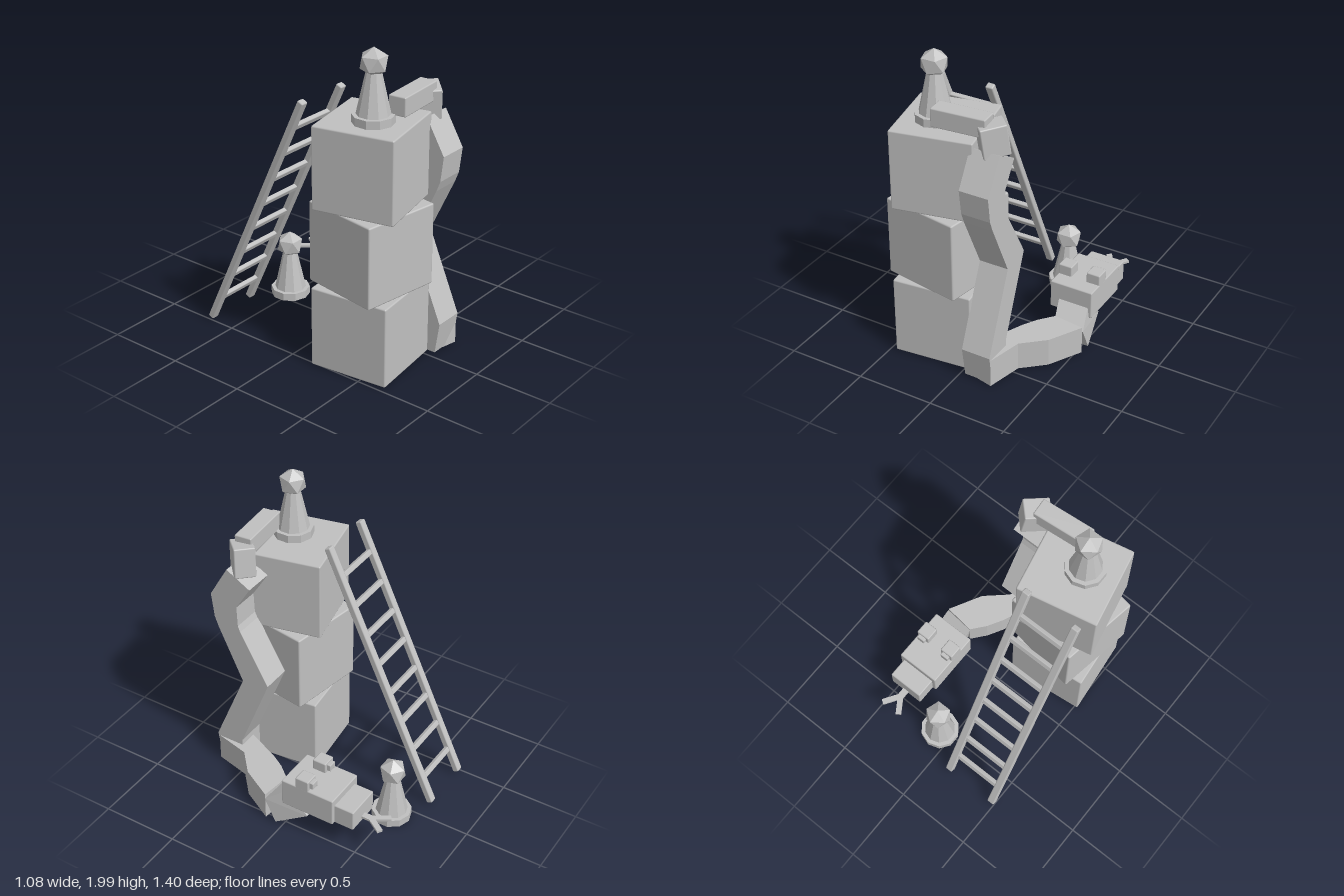
import * as THREE from 'three';
import { RoundedBoxGeometry } from 'three/addons/geometries/RoundedBoxGeometry.js';

export function createModel() {
  const model = new THREE.Group();
  model.name = 'toySnakeAndBlocks';
  const grey = new THREE.MeshStandardMaterial({ color: 0xc0c0c0 });
  grey.name = 'plain grey';

  function add(name, geometry, x = 0, y = 0, z = 0, parent = model) {
    const mesh = new THREE.Mesh(geometry, grey);
    mesh.name = name;
    mesh.position.set(x, y, z);
    parent.add(mesh);
    return mesh;
  }
  const block = (w, h, d, r = 0.008) => new RoundedBoxGeometry(w, h, d, 1, r);

  // Flat-shaded loft through four-cornered sections, capped at both ends
  function loft(sections) {
    const pos = [];
    const quad = (a, b, c, d) => [a, b, c, a, c, d].forEach((p) => pos.push(...p));
    for (let k = 0; k + 1 < sections.length; k++) {
      const a = sections[k], b = sections[k + 1];
      for (let i = 0; i < 4; i++) {
        const j = (i + 1) % 4;
        quad(a[i], a[j], b[j], b[i]);
      }
    }
    const s = sections[0], e = sections[sections.length - 1];
    quad(s[3], s[2], s[1], s[0]);
    quad(e[0], e[1], e[2], e[3]);
    const g = new THREE.BufferGeometry();
    g.setAttribute('position', new THREE.Float32BufferAttribute(pos, 3));
    g.computeVertexNormals();
    return g;
  }

  // Stack of three twisted blocks
  [6.3, -9.4, 11.9].forEach((deg, i) => {
    const b = add('stackedBlock', block(0.51, 0.516, 0.51, 0.01), -0.24, 0.27 + i * 0.516, 0.39);
    b.rotation.y = THREE.MathUtils.degToRad(deg);
  });

  // Two pawns, one on the stack and one on the floor
  function pawn(x, y, z) {
    const g = new THREE.Group();
    g.name = 'pawn';
    g.position.set(x, y, z);
    model.add(g);
    const flat = (geo) => {
      const f = geo.index ? geo.toNonIndexed() : geo;
      f.computeVertexNormals();
      return f;
    };
    add('pawnBase', flat(new THREE.CylinderGeometry(0.125, 0.125, 0.05, 10)), 0, 0.025, 0, g);
    add('pawnBody', flat(new THREE.CylinderGeometry(0.045, 0.1, 0.25, 10)), 0, 0.175, 0, g);
    const ball = new THREE.IcosahedronGeometry(0.088, 0);
    ball.rotateX(-Math.atan((1 + Math.sqrt(5)) / 2)).rotateY(Math.PI);
    add('pawnHead', flat(ball), 0, 0.352, 0, g);
  }
  pawn(-0.28, 1.56, 0.43);
  pawn(0.088, 0.01, -0.517);

  // Leaning ladder, built upright along y and then tilted
  const ladder = new THREE.Group();
  ladder.name = 'ladder';
  ladder.position.set(-0.303, 0.842, -0.298);
  ladder.rotation.x = Math.atan2(0.76, 1.625);
  model.add(ladder);
  for (const side of [-1, 1]) add('ladderRail', block(0.05, 1.8, 0.042), side * 0.173, 0, 0, ladder);
  for (let i = 0; i < 8; i++) {
    add('ladderRung', block(0.31, 0.036, 0.03, 0.006), 0, -0.725 + i * 0.2035, 0, ladder);
  }

  // Snake: upright ribbon, each row is front z, y, back z, y
  const upright = [
    [0.57, 1.525, 0.41, 1.435],
    [0.695, 1.31, 0.51, 1.275],
    [0.675, 1.15, 0.505, 1.14],
    [0.65, 1.085, 0.49, 1.1],
    [0.485, 0.73, 0.3, 0.76],
    [0.7, 0.22, 0.51, 0.24],
    [0.67, 0.02, 0.51, 0.02],
  ];
  const x0 = 0.035, x1 = 0.225;
  add('snakeUpperBody', loft(upright.map(([fz, fy, bz, by]) => [
    [x1, fy, fz], [x0, fy, fz], [x0, by, bz], [x1, by, bz],
  ])));

  // Snake: body on the floor, each row is outer x, z, inner x, z
  const floorBody = [
    [0.225, 0.69, 0.045, 0.65],
    [0.28, 0.46, 0.205, 0.285],
    [0.42, 0.335, 0.26, 0.19],
    [0.535, 0.125, 0.335, 0.1],
  ];
  const lower = floorBody.map(([ox, oz, nx, nz]) => [
    [ox, 0.2, oz], [ox, 0.015, oz], [nx, 0.015, nz], [nx, 0.2, nz],
  ]);
  add('snakeLowerBody', loft(lower));

  // Snake: neck rising into the head
  add('snakeNeck', loft([
    [[0.54, 0.17, 0.125], [0.54, 0.015, 0.05], [0.34, 0.015, 0.05], [0.34, 0.17, 0.125]],
    [[0.5, 0.28, -0.02], [0.5, 0.135, -0.16], [0.3, 0.135, -0.16], [0.3, 0.28, -0.02]],
  ]));

  // Snake: tail link and tail tip
  const link = add('snakeTailLink', block(0.13, 0.19, 0.16), 0.145, 1.585, 0.505);
  link.rotation.set(0.08, -Math.PI / 4, 0.1, 'XZY');
  const tip = add('snakeTailTip', block(0.345, 0.118, 0.113), -0.042, 1.66, 0.527);
  tip.rotation.y = 0.085;

  // Snake: head, snout, eyes and forked tongue
  add('snakeHead', block(0.287, 0.185, 0.365), 0.388, 0.282, -0.178);
  add('snakeSnout', block(0.235, 0.137, 0.14), 0.388, 0.258, -0.42);
  for (const side of [-1, 1]) {
    add('snakeEye', block(0.092, 0.085, 0.092), 0.388 + side * 0.097, 0.4, -0.142);
    add('snakePupil', block(0.055, 0.045, 0.03, 0.005), 0.388 + side * 0.097, 0.407, -0.197);
    const fork = add('tongueFork', new THREE.BoxGeometry(0.036, 0.015, 0.13),
      0.388 + side * 0.031, 0.222, -0.592);
    fork.rotation.y = -side * 0.58;
  }
  add('tongue', new THREE.BoxGeometry(0.042, 0.015, 0.08), 0.388, 0.222, -0.52);

  return model;
}
